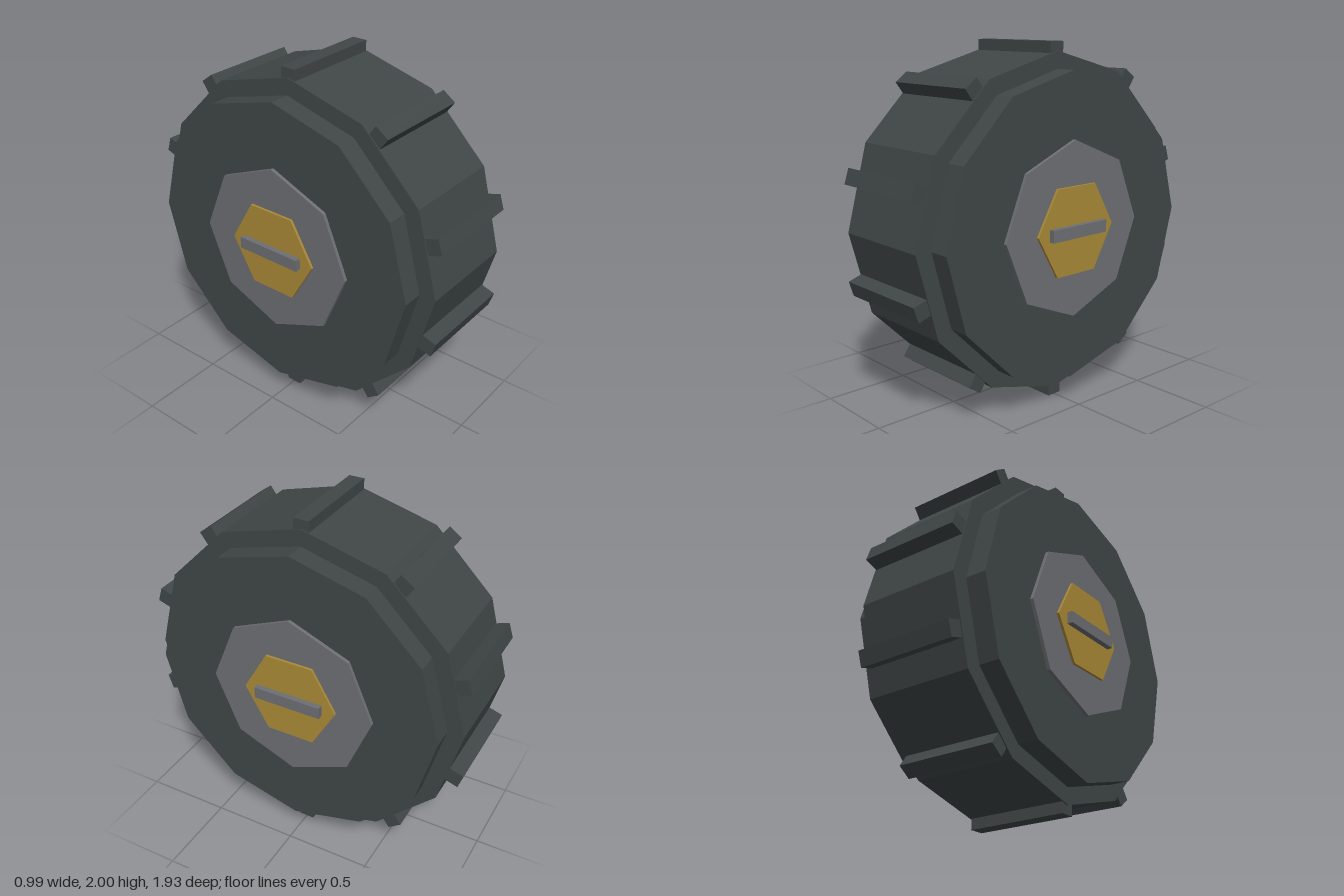
import * as THREE from 'three';

const material = (name, color) => {
  const m = new THREE.MeshStandardMaterial({ color, flatShading: true });
  m.name = name;
  return m;
};

export function createModel() {
  const rubber = material('dark rubber', 0x404646);
  const steel = material('grey steel', 0x6e6f73);
  const brass = material('brass', 0xaa8a37);

  const wheel = new THREE.Group();
  wheel.name = 'wheel';
  wheel.position.y = 1;

  const add = (name, geometry, mat, parent = wheel) => {
    const mesh = new THREE.Mesh(geometry, mat);
    mesh.name = name;
    parent.add(mesh);
    return mesh;
  };
  // Faceted disc lying along the axle (x), with a corner at +z
  const disc = (radius, width, sides) =>
    new THREE.CylinderGeometry(radius, radius, width, sides).rotateZ(Math.PI / 2);

  // Tyre: wide rolling band and narrower sidewalls
  add('tyreBand', disc(0.95, 0.614, 12), rubber);
  add('sidewalls', disc(0.855, 0.856, 12), rubber);

  // Ten tread bars around the band
  const treads = new THREE.Group();
  treads.name = 'treads';
  wheel.add(treads);
  const bar = new THREE.BoxGeometry(0.6, 0.12, 0.09).translate(0, 0.94, 0);
  for (let i = 0; i < 10; i++) {
    add('treadBar', bar, rubber, treads).rotation.x = (i * Math.PI) / 5;
  }

  // Hub plate, hexagonal cap and grip on both sides
  add('hubPlate', disc(0.49, 0.896, 8), steel);
  add('hubCap', disc(0.28, 0.926, 6), brass);
  for (const side of [1, -1]) {
    add('hubGrip', new THREE.BoxGeometry(0.04, 0.068, 0.4), steel).position.x = side * 0.475;
  }

  const model = new THREE.Group();
  model.name = 'wheelModel';
  model.add(wheel);
  return model;
}
